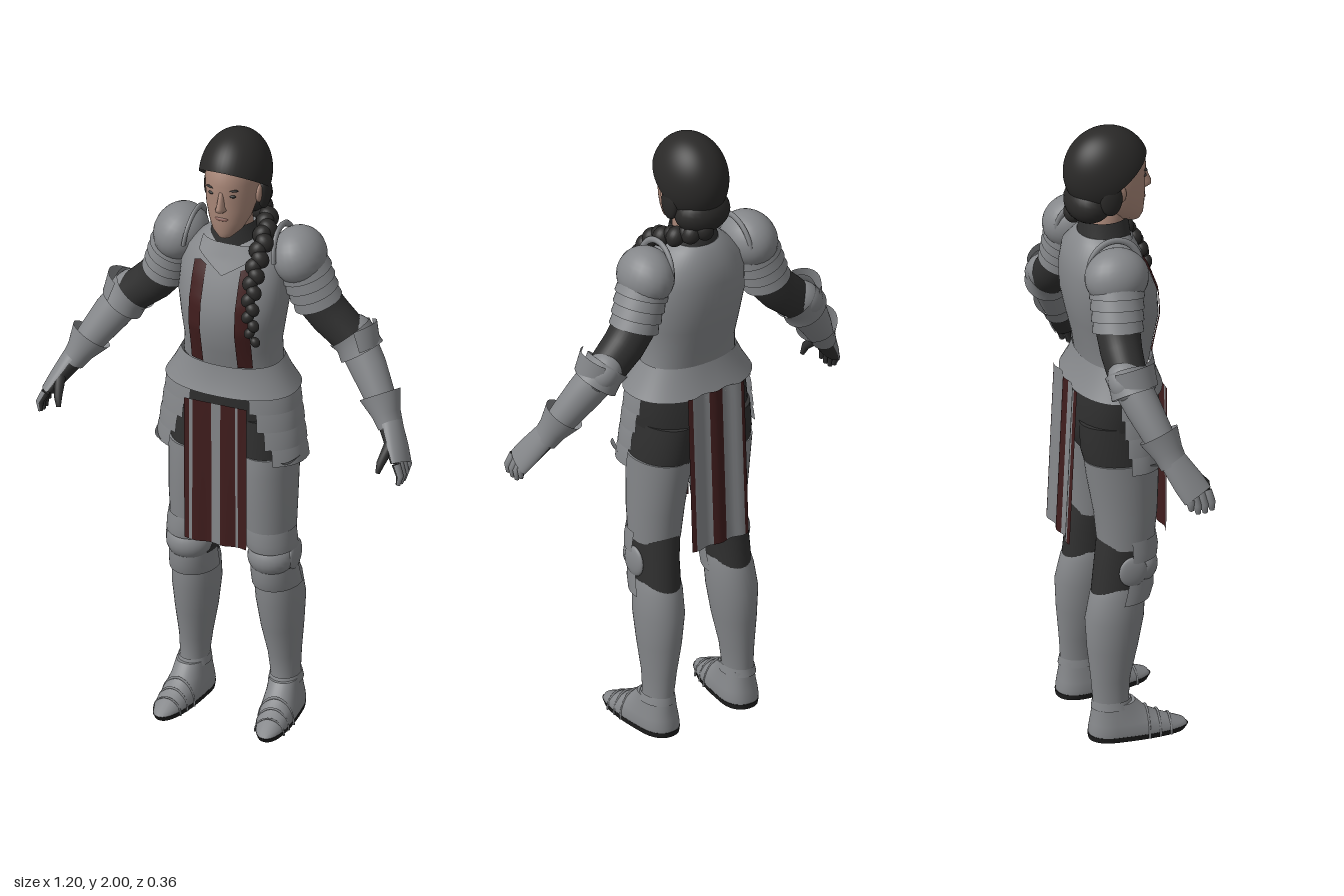
import * as THREE from 'three';

const material = (name, color) => {
  const m = new THREE.MeshStandardMaterial({ color, side: THREE.DoubleSide });
  m.name = name;
  return m;
};
const steel = material('steel', 0x85878a);
const cloth = material('dark cloth', 0x303030);
const hairMat = material('hair', 0x2a2928);
const red = material('dark red', 0x401d1d);
const skin = material('skin', 0xa98778);
const lipMat = material('lips', 0x8a625a);
const soleMat = material('sole', 0x1e1e1e);

const rad = THREE.MathUtils.degToRad;
const spow = (v, p) => Math.sign(v) * Math.abs(v) ** p;

// Skin over rings [x, y, z, halfWidth, frontDepth, backDepth], listed upwards.
// tilt: rings square to the path; arc: degrees from the front towards +x; p < 1 is boxier.
function loft(rings, { tilt = false, arc = null, p = 1, n = 40, open = false } = {}) {
  const pos = [], idx = [], cols = arc ? n + 1 : n;
  const [t0, t1] = arc ? arc.map(rad) : [0, Math.PI * 2];
  const c = rings.map(r => new THREE.Vector3(r[0], r[1], r[2]));
  rings.forEach((r, i) => {
    const T = new THREE.Vector3(0, 1, 0);
    if (tilt) T.subVectors(c[Math.min(i + 1, c.length - 1)], c[Math.max(i - 1, 0)]).normalize();
    const U = new THREE.Vector3().crossVectors(T, new THREE.Vector3(0, 0, 1)).normalize();
    const V = new THREE.Vector3().crossVectors(U, T);
    for (let j = 0; j < cols; j++) {
      const t = t0 + (t1 - t0) * j / n, cs = Math.cos(t);
      const depth = cs > 0 ? r[4] : r[5] ?? r[4];
      const v = c[i].clone().addScaledVector(U, r[3] * spow(Math.sin(t), p)).addScaledVector(V, depth * spow(cs, p));
      pos.push(v.x, v.y, v.z);
    }
  });
  for (let i = 0; i < rings.length - 1; i++) for (let j = 0; j < n; j++) {
    const a = i * cols + j, b = i * cols + (j + 1) % cols;
    idx.push(a, b, b + cols, a, b + cols, a + cols);
  }
  if (!arc && !open) for (const i of [0, rings.length - 1]) {
    const base = pos.length / 3;
    pos.push(...pos.slice(i * cols * 3, (i + 1) * cols * 3), ...c[i].toArray());
    for (let j = 0; j < n; j++) {
      const a = base + j, b = base + (j + 1) % n;
      idx.push(base + n, i ? a : b, i ? b : a);
    }
  }
  const g = new THREE.BufferGeometry();
  g.setAttribute('position', new THREE.Float32BufferAttribute(pos, 3));
  g.setIndex(idx);
  g.computeVertexNormals();
  return g;
}

const ball = (x, y, z, rx, ry, rz, turn = 0) =>
  new THREE.SphereGeometry(1, 24, 16).scale(rx, ry, rz).rotateZ(turn).translate(x, y, z);

function mirrored(geo) {
  const g = geo.clone().scale(-1, 1, 1), a = Array.from(g.index.array);
  for (let i = 0; i < a.length; i += 3) [a[i], a[i + 1]] = [a[i + 1], a[i]];
  g.setIndex(a);
  return g;
}

const TORSO = [
  [0, 1.24, -.005, .155, .105, .105], [0, 1.30, -.005, .15, .12, .115], [0, 1.38, -.01, .16, .143, .13],
  [0, 1.46, -.01, .172, .135, .147], [0, 1.54, -.015, .168, .11, .143], [0, 1.60, -.02, .15, .085, .13],
  [0, 1.645, -.025, .1, .07, .1], [0, 1.66, -.03, .075, .06, .08]];
const TP = .88;

// Depth of the breastplate at (x, y)
function chestZ(x, y) {
  let i = 0;
  while (i < TORSO.length - 2 && y > TORSO[i + 1][1]) i++;
  const k = (y - TORSO[i][1]) / (TORSO[i + 1][1] - TORSO[i][1]);
  const [, , z, a, f] = TORSO[i].map((v, q) => v + (TORSO[i + 1][q] - v) * k);
  const s = Math.min(1, Math.abs(x) / a) ** (1 / TP);
  return z + f * Math.max(0, 1 - s * s) ** (TP / 2);
}

// Sheet over x0..x1 whose height limits and depth follow rules
function sheet(x0, x1, lo, hi, depth, nx = 8, ny = 20) {
  const g = new THREE.PlaneGeometry(1, 1, nx, ny), q = g.attributes.position;
  for (let i = 0; i < q.count; i++) {
    const x = x0 + (x1 - x0) * (q.getX(i) + .5), l = lo(x), y = l + (hi(x) - l) * (q.getY(i) + .5);
    q.setXYZ(i, x, y, depth(x, y));
  }
  g.computeVertexNormals();
  return g;
}

export function createModel() {
  const root = new THREE.Group();
  root.name = 'armouredFigure';
  const add = (name, geo, mat) => {
    const m = new THREE.Mesh(geo, mat);
    m.name = name;
    root.add(m);
  };
  const pair = (name, geo, mat) => {
    add(name + 'Left', geo, mat);
    add(name + 'Right', mirrored(geo), mat);
  };

  // Head and face
  add('head', loft([
    [0, 1.683, .06, .022, .026, .03], [0, 1.705, .04, .047, .055, .06], [0, 1.74, .02, .065, .078, .07],
    [0, 1.78, .01, .076, .09, .08], [0, 1.82, 0, .081, .1, .1], [0, 1.87, 0, .083, .103, .11],
    [0, 1.92, 0, .075, .094, .1], [0, 1.955, 0, .05, .06, .08]]), skin);
  add('neck', loft([[0, 1.62, -.03, .055, .06], [0, 1.75, -.01, .052, .055]]), skin);
  add('nose', loft([[0, 1.782, .095, .012, .016, .02], [0, 1.789, .095, .018, .028, .02],
    [0, 1.80, .095, .013, .028, .02], [0, 1.85, .09, .008, .013, .02]], { n: 16 }), skin);
  add('lips', ball(0, 1.755, .094, .022, .007, .0085), lipMat);
  pair('eye', ball(.033, 1.838, .09, .012, .005, .006), hairMat);
  pair('eyebrow', ball(.035, 1.858, .09, .018, .003, .007, .1), hairMat);
  pair('ear', ball(.083, 1.81, -.005, .01, .03, .02), skin);

  // Hair: tilted cap, gathered roll and a braid over the left shoulder
  add('hairCap', new THREE.SphereGeometry(1, 48, 28, 0, Math.PI * 2, 0, rad(100))
    .rotateX(rad(-35)).scale(.108, .14, .135).translate(0, 1.86, -.02), hairMat);
  add('hairRoll', ball(0, 1.765, -.08, .092, .068, .072), hairMat);
  pair('sideHair', ball(.088, 1.8, -.035, .018, .055, .035), hairMat);
  const braid = new THREE.CatmullRomCurve3([[.03, 1.72, -.12], [.085, 1.695, -.06], [.105, 1.665, .02],
    [.105, 1.58, .09], [.112, 1.48, .14], [.127, 1.385, .155]].map(v => new THREE.Vector3(...v)));
  for (let i = 0; i < 20; i++) {
    const k = i / 19, q = braid.getPointAt(k), r = .034 - .017 * k * k;
    add('braidStrand', ball(q.x + (i % 2 ? .008 : -.008), q.y, q.z, r * .85, r, r * .85, i % 2 ? .6 : -.6), hairMat);
  }

  // Cuirass
  add('collar', loft([[0, 1.62, -.03, .095, .085], [0, 1.665, -.03, .075, .08], [0, 1.705, -.028, .064, .073]], { open: true }), cloth);
  add('cuirass', loft(TORSO, { p: TP, n: 56 }), steel);
  add('gorget', sheet(-.09, .09, x => 1.555 + Math.abs(x) * .6, () => 1.645, (x, y) => chestZ(x, y) + .008, 16, 8), steel);
  add('waistFlare', loft([[0, 1.155, 0, .212, .135, .15], [0, 1.2, 0, .185, .118, .128], [0, 1.25, 0, .16, .111, .113]],
    { open: true, p: TP, n: 56 }), steel);
  pair('chestStripe', sheet(.056, .1, () => 1.25, x => 1.585 - Math.abs(x - .08) * .4,
    (x, y) => chestZ(x, y) + .005), red);

  // Hips and hanging plates
  add('hips', loft([[0, .88, -.01, .06, .05, .06], [0, .95, -.01, .15, .08, .115], [0, 1.05, -.01, .192, .105, .138],
    [0, 1.18, -.005, .185, .108, .125]], { p: .9 }), cloth);
  for (let k = 0; k < 4; k++) {
    const y = 1.17 - .06 * k, a = .203 + .009 * k, f = .115 + .003 * k;
    pair('tassetLame', loft([[0, y - (k === 3 ? .065 : .07), 0, a + .012, f + .008, .14], [0, y - .03, 0, a + .008, f + .004, .135],
      [0, y, 0, a, f, .13]], { arc: [24 + 6 * k, 106 - 3 * k], p: .88, n: 20 }), steel);
  }
  pair('tassetTip', loft([[.2, .915, .03, .012, .03, .02], [.19, .95, .02, .045, .09, .05]], { arc: [10, 110], n: 12 }), steel);

  // Striped cloth panels, front and back
  const panel = (name, stripes, lo, hi, depth) => stripes.forEach(([x0, x1, mat]) =>
    add(name, sheet(x0, x1, () => lo, () => hi, depth, 6, 10), mat));
  panel('frontPanel', [[-.105, -.088, red], [-.088, -.077, steel], [-.077, -.016, red], [-.016, .014, steel],
    [.014, .062, red], [.062, .07, steel], [.07, .1, red]], .64, 1.13,
  (x, y) => .138 + .004 * Math.sin(x * 70) * (1.13 - y) * 2);
  panel('backPanel', [[-.105, -.09, red], [-.09, -.024, steel], [-.024, .024, red], [.024, .09, steel],
    [.09, .105, red]], .65, 1.17, (x, y) => -.152 - .045 * (1.17 - y) - .005 * Math.cos(x * 75));

  // Legs
  pair('thighCloth', loft([[.112, .88, -.005, .086, .1, .11], [.105, .97, -.01, .094, .105, .128], [.1, 1.06, -.01, .09, .1, .13]]), cloth);
  pair('cuisse', loft([[.122, .645, 0, .077, .085, .09], [.118, .75, 0, .085, .097, .1],
    [.113, .87, -.005, .091, .108, .116], [.113, .935, -.008, .092, .108, .122]]), steel);
  pair('kneeCloth', loft([[.132, .46, -.035, .066, .07, .082], [.13, .58, -.015, .066, .07, .09], [.122, .67, 0, .074, .08, .092]]), cloth);
  pair('kneeCap', ball(.133, .57, .025, .072, .062, .068), steel);
  pair('kneeWing', ball(.2, .575, -.005, .013, .05, .045), steel);
  pair('kneeUpperLame', loft([[.13, .605, 0, .08, .092, .08], [.126, .635, 0, .083, .096, .09], [.122, .675, 0, .081, .091, .09]],
    { arc: [-95, 95] }), steel);
  pair('kneeLowerLame', loft([[.135, .465, -.03, .077, .098, .08], [.134, .5, -.02, .075, .1, .08], [.132, .54, -.01, .073, .09, .08]],
    { arc: [-95, 95] }), steel);
  pair('greave', loft([[.15, .09, -.052, .045, .055, .06], [.148, .13, -.055, .044, .052, .06], [.145, .2, -.055, .05, .058, .065],
    [.14, .3, -.05, .064, .078, .08], [.137, .4, -.045, .074, .093, .09], [.133, .48, -.032, .072, .085, .086],
    [.131, .515, -.025, .067, .075, .078]]), steel);
  pair('ankleBand', loft([[.15, .105, -.053, .052, .064, .068], [.149, .13, -.054, .047, .056, .063]], { open: true }), steel);

  // Feet: plated upper, ridges and dark sole, toes turned out a little
  const toeOut = g => g.translate(0, 0, .05).rotateY(.1).translate(.15, 0, -.05);
  pair('sabaton', toeOut(loft([[0, .015, -.05, .058, .23, .078], [0, .03, -.05, .059, .22, .078], [0, .055, -.05, .056, .155, .074],
    [0, .08, -.05, .051, .105, .07], [0, .12, -.05, .046, .065, .066]], { p: .88 })), steel);
  pair('sole', toeOut(loft([[0, 0, -.05, .056, .22, .078], [0, .017, -.05, .059, .231, .08]], { p: .88 })), soleMat);
  for (const [z, w, h] of [[.12, .046, .05], [.085, .051, .066], [.05, .056, .084]])
    pair('footRidge', toeOut(new THREE.TorusGeometry(1, .06, 6, 24, Math.PI).scale(w, h, .06).translate(0, .004, z)), steel);

  // Shoulders and upper arms
  pair('pauldron', ball(.193, 1.592, -.055, .083, .09, .1, .3), steel);
  pair('pauldronFlange', new THREE.TorusGeometry(.082, .01, 8, 28, Math.PI).rotateY(Math.PI / 2)
    .scale(.7, 1.05, 1).rotateZ(.12).translate(.148, 1.6, -.045), steel);
  const top = new THREE.Vector3(.2, 1.57, -.058), low = new THREE.Vector3(.247, 1.44, -.07);
  for (let k = 0; k < 4; k++) {
    const a = top.clone().lerp(low, k / 4), b = top.clone().lerp(low, (k + 1.15) / 4), r = .079 - .002 * k;
    pair('armLame', loft([[b.x, b.y, b.z, r + .003, r + .006], [a.x, a.y, a.z, r - .005, r + .002]], { tilt: true, open: true }), steel);
  }
  pair('sleeve', loft([[.38, 1.305, -.072, .055, .055], [.34, 1.345, -.076, .062, .06], [.29, 1.39, -.075, .066, .064],
    [.24, 1.45, -.07, .068, .068], [.2, 1.56, -.06, .065, .07]], { tilt: true }), cloth);

  // Elbows and forearms
  pair('elbowCap', ball(.375, 1.335, -.088, .052, .07, .058, .75), steel);
  pair('elbowBand', loft([[.392, 1.29, -.07, .072, .07], [.37, 1.322, -.075, .066, .066], [.35, 1.345, -.076, .074, .07]],
    { tilt: true, open: true }), steel);
  pair('elbowWing', loft([[.385, 1.3, -.06, .07, .07], [.355, 1.36, -.07, .088, .075]], { tilt: true, arc: [30, 150], n: 16 }), steel);
  pair('vambrace', loft([[.508, 1.118, .005, .038, .04], [.47, 1.18, -.02, .048, .048], [.42, 1.255, -.05, .058, .055],
    [.38, 1.31, -.07, .06, .058]], { tilt: true }), steel);
  pair('gauntletCuff', loft([[.52, 1.1, .013, .037, .044], [.5, 1.135, 0, .044, .048], [.472, 1.185, -.02, .066, .064]],
    { tilt: true, open: true }), steel);

  // Hands: dark palm and fingers under steel back plates
  pair('palm', loft([[.574, 1.015, .068, .018, .046], [.553, 1.05, .047, .024, .046], [.516, 1.11, .012, .034, .038]], { tilt: true }), cloth);
  pair('handPlate', loft([[.576, 1.012, .069, .023, .05], [.554, 1.05, .047, .029, .05], [.516, 1.11, .012, .038, .043]],
    { tilt: true, arc: [0, 180], n: 20 }), steel);
  for (let k = 0; k < 4; k++) {
    const z = .034 + .022 * k, dip = k === 0 ? .014 : k === 3 ? .006 : 0;
    const rings = r => [[.584, .957 + dip, z + .012, r * .6, r * .6], [.588, .985 + dip, z + .008, r, r], [.572, 1.025, z, r * 1.1, r * 1.1]];
    pair('finger', loft(rings(.0105), { tilt: true, n: 12 }), cloth);
    pair('fingerPlate', loft(rings(.0135), { tilt: true, arc: [0, 180], n: 10 }), steel);
  }
  pair('thumb', loft([[.522, .995, .122, .007, .007], [.528, 1.025, .112, .013, .013], [.54, 1.07, .065, .018, .018]], { tilt: true, n: 14 }), cloth);

  return root;
}
